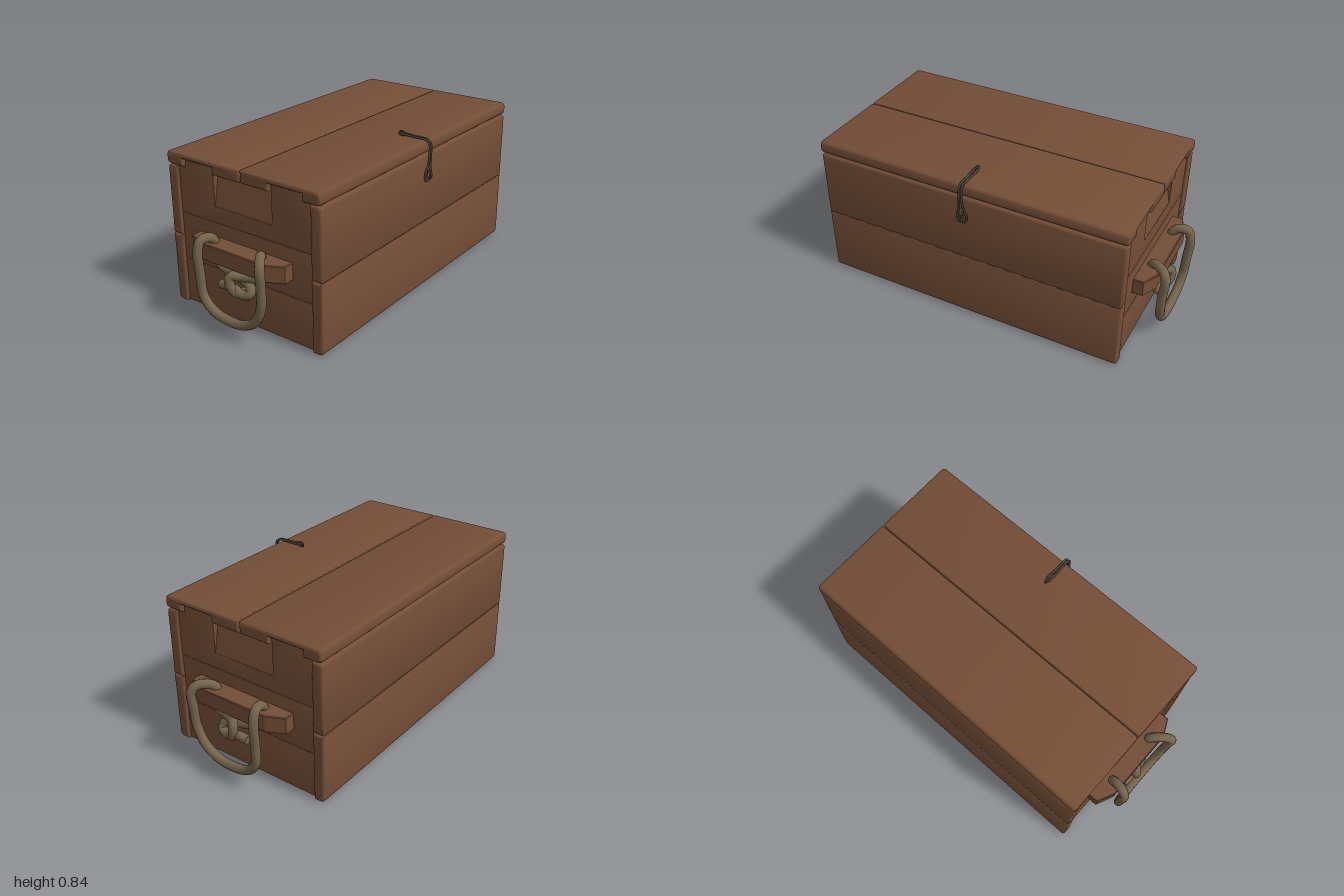
import * as THREE from 'three';
import { toCreasedNormals } from 'three/addons/utils/BufferGeometryUtils.js';

const material = (name, color) => {
  const m = new THREE.MeshStandardMaterial({ color });
  m.name = name;
  return m;
};

// Polygon whose corners [a, b, radius] may be rounded
function roundedShape(corners) {
  const shape = new THREE.Shape();
  const n = corners.length;
  const toward = (p, q, r) => {
    const d = Math.hypot(q[0] - p[0], q[1] - p[1]);
    return [p[0] + (q[0] - p[0]) * r / d, p[1] + (q[1] - p[1]) * r / d];
  };
  corners.forEach((c, i) => {
    const r = c[2] || 0;
    const a = toward(c, corners[(i + n - 1) % n], r);
    if (i === 0) shape.moveTo(...a);
    else shape.lineTo(...a);
    if (r) shape.quadraticCurveTo(c[0], c[1], ...toward(c, corners[(i + 1) % n], r));
  });
  shape.closePath();
  return shape;
}

// Board with a (z, y) profile running along x from x0 to x1
function boardGeometry(corners, x0, x1, bevel) {
  const geo = new THREE.ExtrudeGeometry(roundedShape(corners), {
    depth: x1 - x0 - 2 * bevel, curveSegments: 5, bevelEnabled: bevel > 0,
    bevelThickness: bevel, bevelSize: bevel, bevelOffset: -bevel, bevelSegments: 3,
  });
  geo.translate(0, 0, bevel - (x1 - x0) / 2);
  geo.rotateY(-Math.PI / 2);
  geo.translate((x0 + x1) / 2, 0, 0);
  return toCreasedNormals(geo, 0.7);
}

const vectors = (points, s = 1) => points.map(([x, y, z]) => new THREE.Vector3(x * s, y, z));

export function createModel() {
  const wood = material('wood', 0x744e37);
  const rope = material('rope', 0x74644c);
  const metal = material('metal', 0x4d4537);
  const model = new THREE.Group();
  model.name = 'woodenChest';

  const add = (name, geo, mat, parent = model) => {
    const mesh = new THREE.Mesh(geo, mat);
    mesh.name = name;
    parent.add(mesh);
    return mesh;
  };

  // Long front and back walls, two boards each
  for (const [name, inner, outer] of [['front', 0.392, 0.453], ['back', -0.431, -0.492]]) {
    add(name + 'LowerBoard', boardGeometry(
      [[inner, 0.003], [outer, 0.003, 0.028], [outer, 0.376, 0.006], [inner, 0.376]], -0.85, 0.85, 0.012), wood);
    add(name + 'UpperBoard', boardGeometry(
      [[inner, 0.379], [outer, 0.379, 0.006], [outer, 0.745, 0.024], [inner, 0.745]], -0.85, 0.85, 0.012), wood);
  }

  // Floor, set slightly above the lower rim
  const floor = add('floor', new THREE.BoxGeometry(1.64, 0.03, 0.825), wood);
  floor.position.set(0, 0.032, -0.02);

  // Lid: two boards notched underneath for the tabs of the end walls
  add('lidFrontBoard', boardGeometry([
    [0.453, 0.75, 0.022], [0.453, 0.816, 0.026], [-0.015, 0.816, 0.008], [-0.015, 0.75, 0.008],
    [0.155, 0.75], [0.155, 0.787], [0.35, 0.787], [0.35, 0.75],
  ], -0.855, 0.855, 0.014), wood);
  add('lidBackBoard', boardGeometry([
    [-0.021, 0.75, 0.008], [-0.021, 0.816, 0.008], [-0.492, 0.816, 0.026], [-0.492, 0.75, 0.022],
    [-0.388, 0.75], [-0.388, 0.787], [-0.195, 0.787], [-0.195, 0.75],
  ], -0.855, 0.855, 0.014), wood);

  // Rope running from the knot tail through the cleat, around the handle and back
  const ropePoints = [
    [0.92, 0.24, -0.1], [0.925, 0.247, -0.03], [0.92, 0.222, 0.03], [0.91, 0.235, 0.075],
    [0.895, 0.268, 0.06], [0.885, 0.28, 0.005], [0.878, 0.293, -0.06], [0.878, 0.315, -0.14],
    [0.878, 0.36, -0.172], [0.88, 0.43, -0.172], [0.91, 0.458, -0.178], [0.955, 0.455, -0.188],
    [0.975, 0.4, -0.192], [0.97, 0.28, -0.19], [0.965, 0.17, -0.182], [0.96, 0.105, -0.13],
    [0.958, 0.08, -0.04], [0.958, 0.086, 0.06], [0.96, 0.13, 0.14], [0.965, 0.22, 0.188],
    [0.97, 0.33, 0.198], [0.975, 0.42, 0.2], [0.955, 0.453, 0.185], [0.91, 0.455, 0.15],
    [0.88, 0.43, 0.125], [0.878, 0.36, 0.13], [0.882, 0.322, 0.125], [0.89, 0.308, 0.06],
    [0.91, 0.308, 0.01], [0.937, 0.312, -0.025], [0.942, 0.265, -0.025], [0.92, 0.22, 0.005],
    [0.885, 0.23, 0.03],
  ];

  // Both end walls with their handles
  for (const s of [1, -1]) {
    const side = s > 0 ? 'left' : 'right';
    const end = new THREE.Group();
    end.name = side + 'End';
    model.add(end);
    const [x0, x1] = s > 0 ? [0.775, 0.836] : [-0.836, -0.775];
    const front = 0.39, back = -0.43;

    for (const [name, y0, y1] of [['endLowerBoard', 0.01, 0.249], ['endMiddleBoard', 0.251, 0.499]]) {
      add(name, boardGeometry([[front, y0], [front, y1], [back, y1], [back, y0]], x0, x1, 0.003), wood, end);
    }
    // Upper board with two tabs and a central cut-out
    add('endUpperBoard', boardGeometry([
      [front, 0.501], [front, 0.745], [0.345, 0.745], [0.345, 0.783], [0.16, 0.783], [0.16, 0.585],
      [-0.2, 0.585], [-0.2, 0.783], [-0.383, 0.783], [-0.383, 0.745], [back, 0.745], [back, 0.501],
    ], x0, x1, 0.002), wood, end);

    // Sloping finger recess inside the cut-out
    const slope = new THREE.ExtrudeGeometry(roundedShape(
      [[0.775 * s, 0.58], [0.835 * s, 0.58], [0.8 * s, 0.75], [0.775 * s, 0.75]]),
    { depth: 0.36, bevelEnabled: false });
    slope.translate(0, 0, -0.2);
    add('fingerRecess', slope, wood, end);

    // Cleat with chamfered ends
    const cleat = new THREE.ExtrudeGeometry(roundedShape([
      [0.82 * s, -0.275], [0.89 * s, -0.275], [0.932 * s, -0.19],
      [0.932 * s, 0.22], [0.89 * s, 0.312], [0.82 * s, 0.312],
    ]), { depth: 0.08, bevelThickness: 0.004, bevelSize: 0.004, bevelOffset: -0.004, bevelSegments: 1 });
    cleat.rotateX(-Math.PI / 2);
    cleat.translate(0, 0.344, 0);
    add('handleCleat', cleat, wood, end);

    // Rope handle and its knot, with flat cut ends
    const path = new THREE.CatmullRomCurve3(vectors(ropePoints, s));
    add('ropeHandle', new THREE.TubeGeometry(path, 150, 0.024, 10), rope, end);
    for (const t of [0, 1]) {
      const cap = add('ropeEnd', new THREE.CircleGeometry(0.024, 10), rope, end);
      cap.position.copy(path.getPointAt(t));
      cap.quaternion.setFromUnitVectors(new THREE.Vector3(0, 0, 1), path.getTangentAt(t).multiplyScalar(t ? 1 : -1));
    }
  }

  // Wire hasp: a doubled strand over the lid, widening to a loop in front
  const latch = new THREE.Group();
  latch.name = 'latch';
  model.add(latch);
  const strand = [
    [0.009, 0.83, 0.315], [0.007, 0.826, 0.38], [0.007, 0.823, 0.455], [0.007, 0.805, 0.474],
    [0.008, 0.74, 0.476], [0.013, 0.69, 0.472], [0.026, 0.645, 0.468], [0.02, 0.614, 0.468],
  ];
  const wire = [[0, 0.831, 0.3], ...strand, [0, 0.608, 0.468],
    ...strand.slice().reverse().map(([x, y, z]) => [-x, y, z])];
  add('haspWire', new THREE.TubeGeometry(
    new THREE.CatmullRomCurve3(vectors(wire), true), 120, 0.006, 6, true), metal, latch);

  // Staples holding the hasp
  for (const [name, y, z, sy, sz] of [['lidStaple', 0.829, 0.306, 0.85, 1], ['frontStaple', 0.643, 0.474, 1.25, 1]]) {
    const ring = new THREE.TorusGeometry(0.015, 0.005, 6, 16);
    ring.rotateY(Math.PI / 2);
    ring.scale(1, sy, sz);
    add(name, ring, metal, latch).position.set(0, y, z);
  }

  return model;
}
